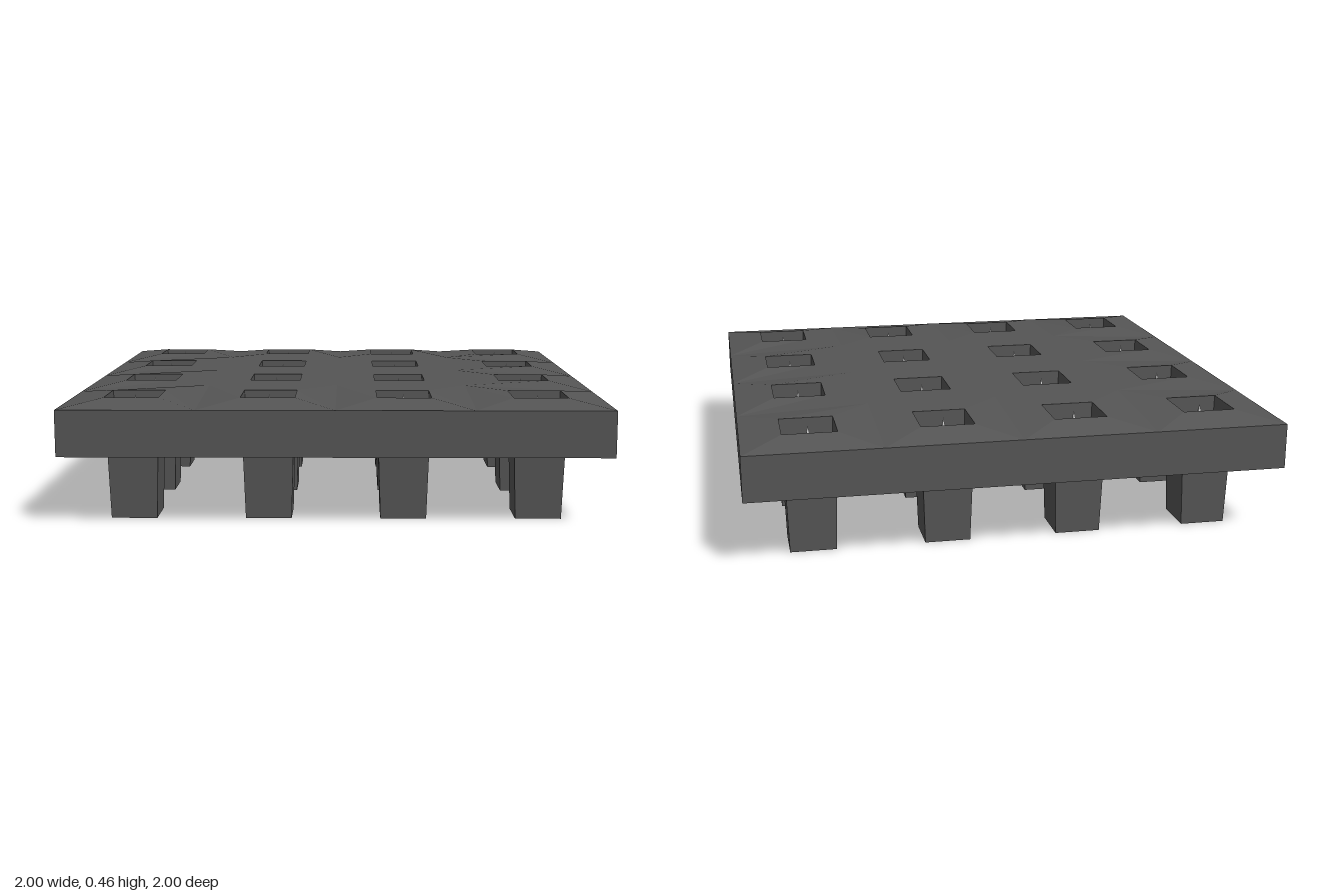
import * as THREE from 'three';

const CELLS = 4, STEP = 0.5;
const SKIRT_BOTTOM = 0.26, EDGE_TOP = 0.43, TOP = 0.455;
const MOUTH = 0.1, FOOT = 0.085; // half widths of a well at its top and bottom

// Four corners of a square, counter-clockwise seen from above
function square(cx, cz, half, height) {
  return [[-1, 1], [1, 1], [1, -1], [-1, -1]].map(([sx, sz]) => {
    const x = cx + sx * half, z = cz + sz * half;
    return [x, typeof height === 'function' ? height(x, z) : height, z];
  });
}

// Band of four-sided faces between two squares; faces look away from the axis when lower comes first
function band(lower, upper) {
  const p = [];
  for (let i = 0; i < 4; i++) {
    const j = (i + 1) % 4;
    p.push(...lower[i], ...lower[j], ...upper[j], ...lower[i], ...upper[j], ...upper[i]);
  }
  return p;
}

// Four triangles meeting in a point
function spike(base, apex) {
  return base.flatMap((b, i) => [...b, ...base[(i + 1) % 4], ...apex]);
}

function mesh(name, positions, material) {
  const g = new THREE.BufferGeometry();
  g.setAttribute('position', new THREE.Float32BufferAttribute(positions, 3));
  g.computeVertexNormals(); // unshared corners give flat faces
  const m = new THREE.Mesh(g, material);
  m.name = name;
  return m;
}

export function createModel() {
  const darkGrey = new THREE.MeshStandardMaterial({ color: 0x555555, side: THREE.DoubleSide });
  darkGrey.name = 'dark grey';
  const lightGrey = new THREE.MeshStandardMaterial({ color: 0xcccccc, side: THREE.DoubleSide });
  lightGrey.name = 'light grey';

  const group = new THREE.Group();
  group.name = 'wellTray';

  // Skirt around the open underside
  group.add(mesh('skirt', band(square(0, 0, 1, SKIRT_BOTTOM), square(0, 0, 1, EDGE_TOP)), darkGrey));

  // The top slopes down only along the outer border
  const topHeight = (x, z) => (Math.max(Math.abs(x), Math.abs(z)) > 0.99 ? EDGE_TOP : TOP);

  for (let i = 0; i < CELLS; i++) {
    for (let k = 0; k < CELLS; k++) {
      const x = (i - 1.5) * STEP, z = (k - 1.5) * STEP;
      const mouth = square(x, z, MOUTH, TOP), foot = square(x, z, FOOT, 0);
      const cell = new THREE.Group();
      cell.name = `cell_${i}_${k}`;
      cell.add(
        mesh('topPanel', band(square(x, z, STEP / 2, topHeight), mouth), darkGrey),
        mesh('wellWall', band(foot, mouth), darkGrey),
        mesh('wellSpike', spike(foot, [x, TOP, z]), lightGrey),
      );
      group.add(cell);
    }
  }
  return group;
}
